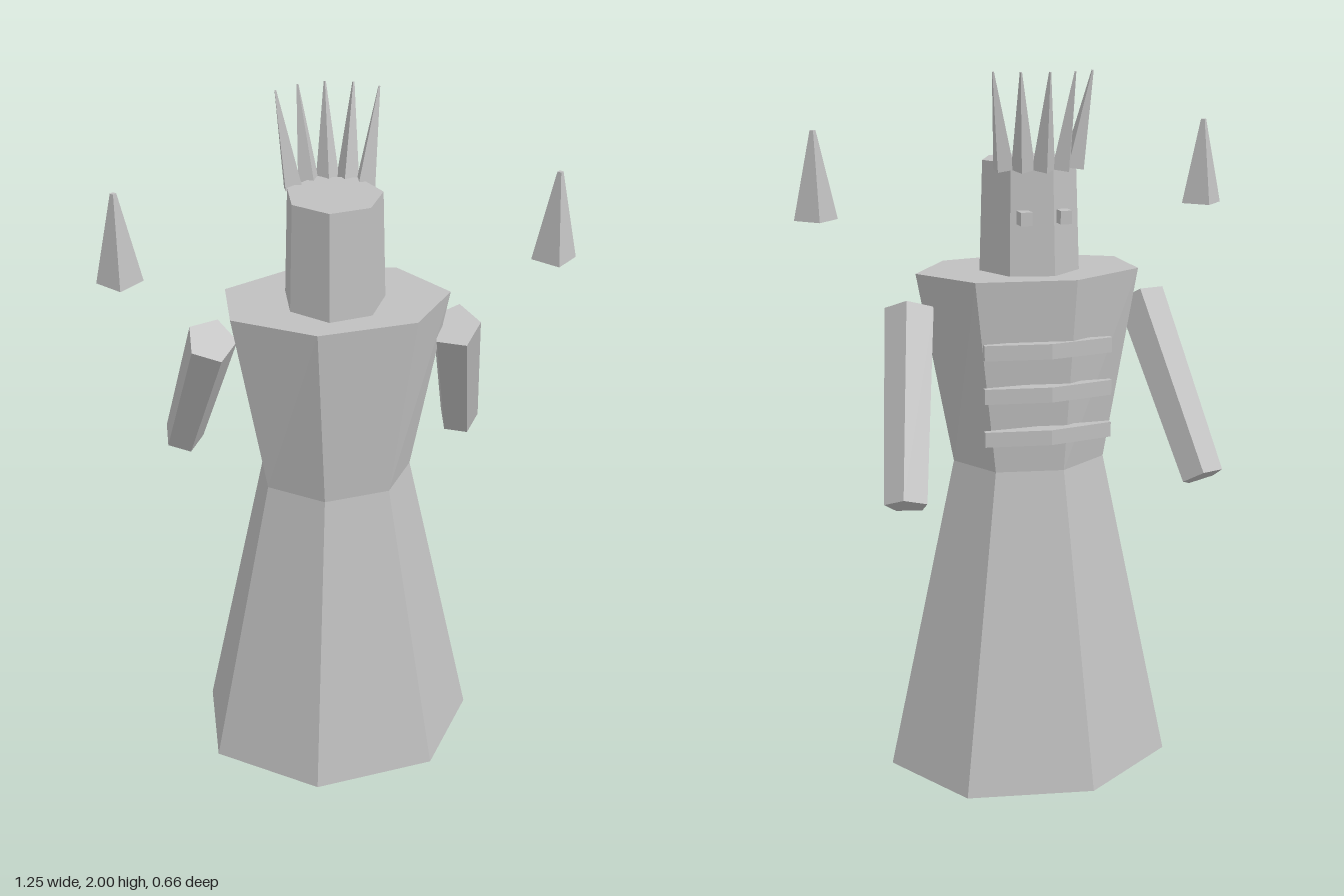
import * as THREE from 'three';

const stone = new THREE.MeshStandardMaterial({ color: 0xc0c0c0 });
stone.name = 'stone grey';

// Faceted mesh from any geometry
function facet(geometry, name) {
  const g = geometry.index ? geometry.toNonIndexed() : geometry;
  g.computeVertexNormals();
  const mesh = new THREE.Mesh(g, stone);
  mesh.name = name;
  return mesh;
}

// Seven-sided elliptical frustum, one corner pointing to +x; ends are [y, rx, rz]
function frustum(name, bottom, top) {
  const g = new THREE.CylinderGeometry(1, 1, 1, 7, 1, false, Math.PI / 2);
  const p = g.attributes.position;
  for (let i = 0; i < p.count; i++) {
    const [y, rx, rz] = p.getY(i) > 0 ? top : bottom;
    p.setXYZ(i, p.getX(i) * rx, y, p.getZ(i) * rz);
  }
  return facet(g, name);
}

// Four-sided spike with its base at the origin
function spike(name, tip, radius, height) {
  const g = new THREE.CylinderGeometry(tip, radius, height, 4);
  g.translate(0, height / 2, 0);
  return facet(g, name);
}

export function createModel() {
  const model = new THREE.Group();
  model.name = 'robedFigure';

  // Robe, torso and head
  model.add(
    frustum('skirt', [0, 0.42, 0.34], [0.92, 0.22, 0.18]),
    frustum('torso', [0.92, 0.22, 0.18], [1.46, 0.32, 0.22]),
    frustum('head', [1.46, 0.14, 0.147], [1.76, 0.13, 0.133])
  );

  // Five crown spikes fanning out over the face side (-z)
  const crown = new THREE.Group();
  crown.name = 'crown';
  for (let i = -2; i <= 2; i++) {
    const s = spike('crownSpike', 0.003, 0.032, 0.26);
    s.rotation.x = -0.21;
    s.position.set(0, 1.745, -0.135);
    const arm = new THREE.Group();
    arm.name = 'crownSpikeMount';
    arm.rotation.y = i * 0.4;
    arm.add(s);
    crown.add(arm);
  }
  model.add(crown);

  for (const side of [-1, 1]) {
    const label = side > 0 ? 'left' : 'right';

    // Five-sided arms reaching down towards -z
    const arm = facet(
      new THREE.CylinderGeometry(0.071, 0.06, 0.55, 5, 1, false, Math.PI / 2),
      label + 'Arm'
    );
    arm.rotation.set(0.555, 0, side * 0.156);
    arm.position.set(side * 0.378, 1.128, -0.135);

    // Small block eyes
    const eye = facet(new THREE.BoxGeometry(0.032, 0.036, 0.04), label + 'Eye');
    eye.position.set(side * 0.055, 1.62, -0.145);

    // Floating shards beside the head
    const shard = spike(label + 'FloatingShard', 0.008, 0.06, 0.24);
    shard.position.set(side * 0.565, 1.6, 0.12);
    model.add(arm, eye, shard);
  }

  // Three bent ribs across the chest
  const outline = new THREE.Shape(
    [[-0.18, 0.175], [0, 0.17], [0.18, 0.175], [0.18, 0.19], [0, 0.22], [-0.18, 0.19]]
      .map(([x, y]) => new THREE.Vector2(x, y))
  );
  for (let i = 0; i < 3; i++) {
    const g = new THREE.ExtrudeGeometry(outline, { depth: 0.042, bevelEnabled: false });
    g.rotateX(-Math.PI / 2);
    const rib = facet(g, 'rib');
    rib.position.y = 1.25 - i * 0.12;
    model.add(rib);
  }

  return model;
}
